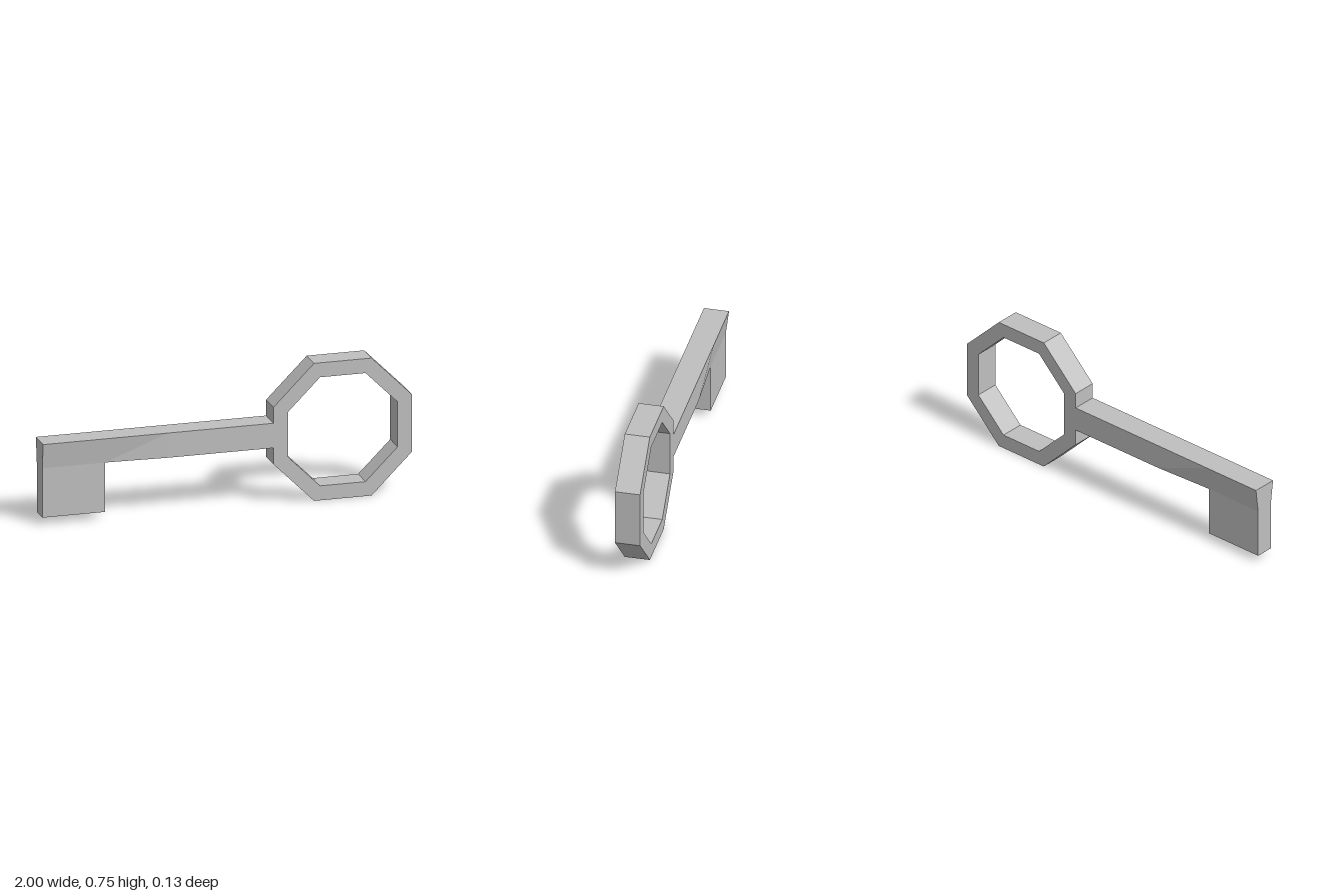
import * as THREE from 'three';

const HALF = 0.067;      // half thickness of ring and shaft
const BIT_HALF = 0.05;   // half thickness of the bit

const metal = new THREE.MeshStandardMaterial({ color: 0xbfbfbf });
metal.name = 'grey metal';

function addPart(group, name, geometry) {
  const flat = geometry.index ? geometry.toNonIndexed() : geometry;
  flat.computeVertexNormals();
  const mesh = new THREE.Mesh(flat, metal);
  mesh.name = name;
  group.add(mesh);
}

// corner points of an octagon with flat sides at the given apothem
function octagon(apothem) {
  const r = apothem / Math.cos(Math.PI / 8);
  return Array.from({ length: 8 }, (_, i) => {
    const a = (i + 0.5) * Math.PI / 4;
    return new THREE.Vector2(r * Math.cos(a), r * Math.sin(a));
  });
}

export function createModel() {
  const key = new THREE.Group();
  key.name = 'key';

  // octagonal ring handle
  const shape = new THREE.Shape(octagon(0.376));
  shape.holes.push(new THREE.Path(octagon(0.297).reverse()));
  const ring = new THREE.ExtrudeGeometry(shape, { depth: 2 * HALF, bevelEnabled: false });
  ring.translate(0.624, 0.376, -HALF);
  addPart(key, 'ringHandle', ring);

  // shaft: lower edge narrows to the bit thickness towards the tip
  const stations = [-1, -0.66, -0.32, 0.248];
  const shaft = new THREE.BoxGeometry(3, 1, 2, 3, 1, 1);
  const p = shaft.attributes.position;
  for (let i = 0; i < p.count; i++) {
    const s = Math.round(p.getX(i) + 1.5);
    const low = p.getY(i) < 0;
    const half = low && s < 2 ? BIT_HALF : HALF;
    p.setXYZ(i, stations[s], low ? 0.31 : 0.445, Math.sign(p.getZ(i)) * half);
  }
  addPart(key, 'shaft', shaft);

  // square bit hanging below the tip
  const bit = new THREE.BoxGeometry(0.34, 0.27, 2 * BIT_HALF);
  bit.translate(-0.83, 0.175, 0);
  addPart(key, 'bit', bit);

  return key;
}
